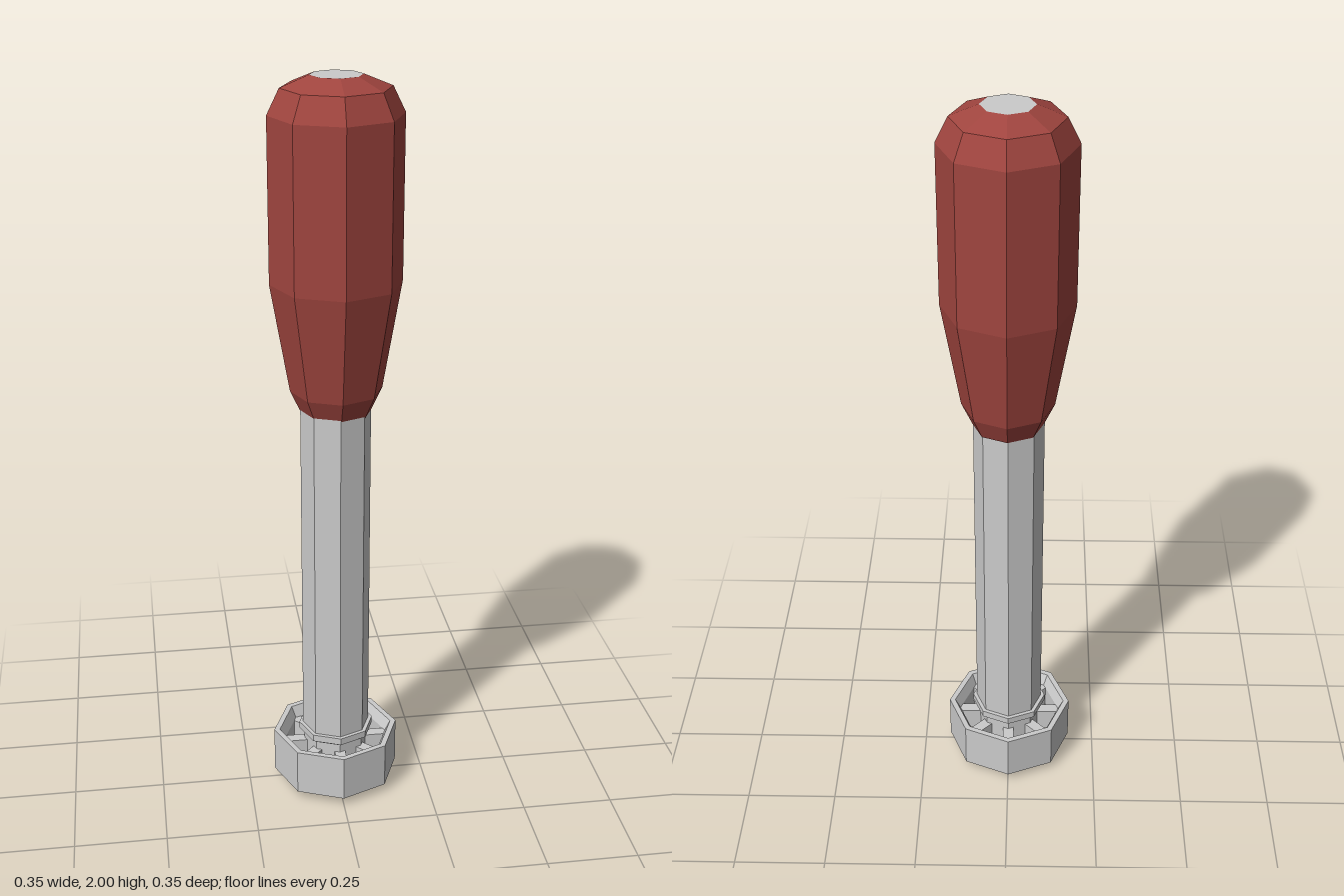
import * as THREE from 'three';

const SIDES = 8;
const grey = new THREE.MeshStandardMaterial({ color: 0xcccccc, flatShading: true });
const red = new THREE.MeshStandardMaterial({ color: 0xa0453f, flatShading: true });

// Eight-sided turned part from [radius, height] pairs, listed bottom to top on the outside
function turned(name, profile, material) {
  const points = profile.map(([r, y]) => new THREE.Vector2(r, y));
  const geometry = new THREE.LatheGeometry(points, SIDES).toNonIndexed();
  geometry.computeVertexNormals();
  const mesh = new THREE.Mesh(geometry, material);
  mesh.name = name;
  return mesh;
}

export function createModel() {
  const group = new THREE.Group();
  group.name = 'handTool';

  // Grip with tapered neck and rounded-off top
  const grip = turned('grip', [
    [0.094, 1.13], [0.122, 1.19], [0.172, 1.48],
    [0.172, 1.905], [0.14, 1.97], [0.067, 2.0],
  ], red);
  const gripCap = turned('gripCap', [[0.067, 2.0], [0, 2.0]], grey);
  for (const part of [grip, gripCap]) part.position.set(0.002, 0, -0.003);

  // Shaft
  const shaft = turned('shaft', [[0.094, 0.15], [0.094, 1.14]], grey);

  // Hub at the foot of the shaft, with a collar on top
  const hub = turned('hub', [
    [0, 0], [0.078, 0], [0.09, 0.022], [0.09, 0.15],
    [0.105, 0.158], [0.105, 0.178], [0.09, 0.178],
  ], grey);

  // Hollow outer ring
  const ring = turned('ring', [
    [0.145, 0.06], [0.16, 0.026], [0.176, 0.026], [0.176, 0.156],
    [0.16, 0.156], [0.145, 0.125], [0.145, 0.06],
  ], grey);
  ring.position.set(-0.001, 0, -0.002);

  // Short spokes joining hub and ring
  const spokes = new THREE.Group();
  spokes.name = 'spokes';
  for (let i = 0; i < SIDES; i++) {
    const angle = (i / SIDES) * Math.PI * 2;
    const spoke = new THREE.Mesh(new THREE.BoxGeometry(0.03, 0.065, 0.07), grey);
    spoke.name = 'spoke';
    spoke.position.set(Math.sin(angle) * 0.115, 0.092, Math.cos(angle) * 0.115);
    spoke.rotation.y = angle;
    spokes.add(spoke);
  }

  group.add(grip, gripCap, shaft, hub, ring, spokes);
  return group;
}
